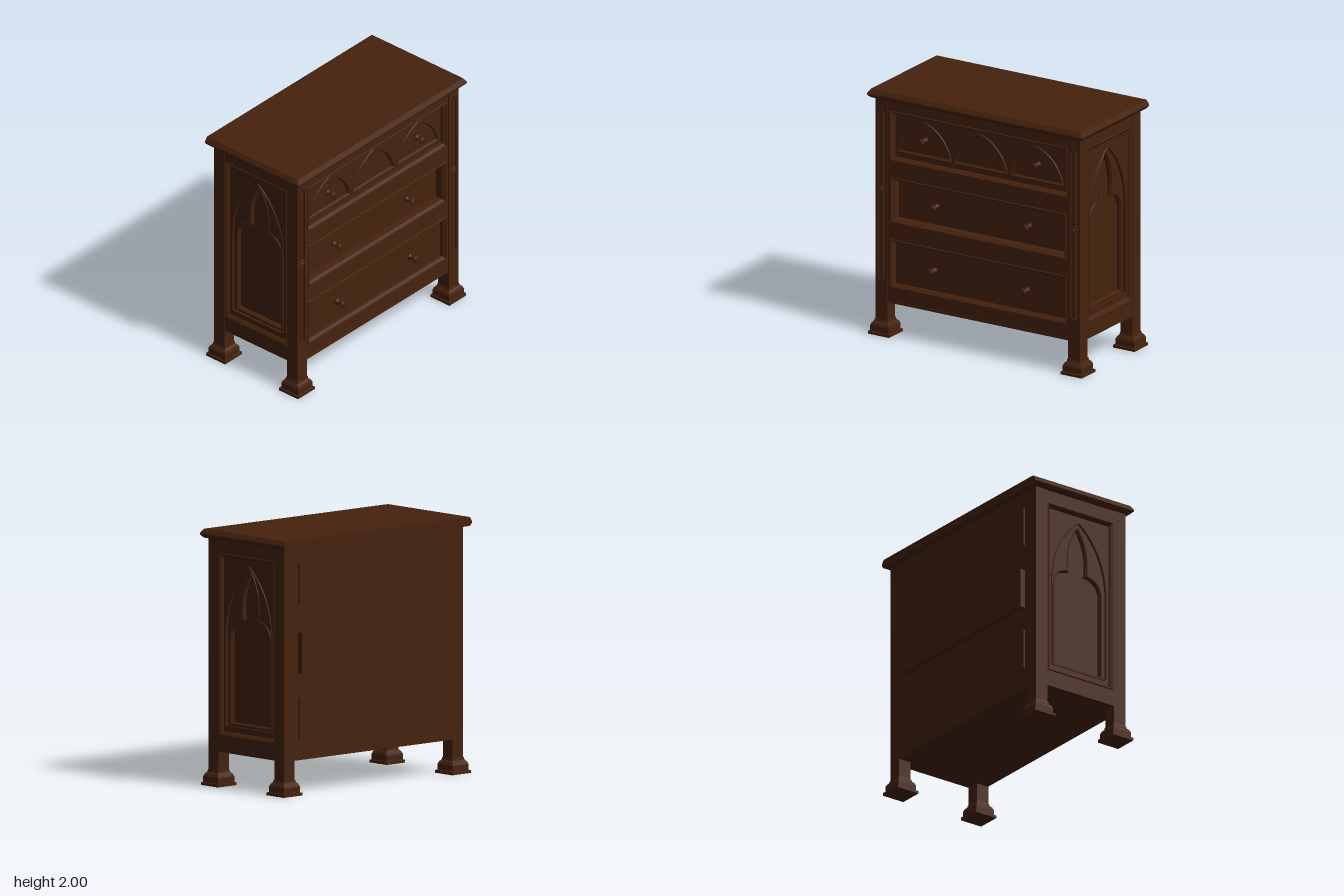
import * as THREE from 'three';

const wood = new THREE.MeshStandardMaterial({ color: 0x45220d, side: THREE.DoubleSide });
wood.name = 'dark wood';

function add(parent, name, geometry, x = 0, y = 0, z = 0) {
  const mesh = new THREE.Mesh(geometry, wood);
  mesh.name = name;
  mesh.position.set(x, y, z);
  parent.add(mesh);
  return mesh;
}

// Box given by its extents
function block(parent, name, x0, x1, y0, y1, z0, z1) {
  return add(parent, name, new THREE.BoxGeometry(x1 - x0, y1 - y0, z1 - z0),
    (x0 + x1) / 2, (y0 + y1) / 2, (z0 + z1) / 2);
}

// Flat-faced loft through rectangles [x0, x1, y0, y1, z]
function rectLoft(rings, capped) {
  const pos = [];
  const corners = ([x0, x1, y0, y1, z]) => [[x0, y0, z], [x1, y0, z], [x1, y1, z], [x0, y1, z]];
  const quad = (a, b, c, d) => pos.push(...a, ...b, ...c, ...a, ...c, ...d);
  const loops = rings.map(corners);
  for (let i = 0; i + 1 < loops.length; i++) {
    for (let k = 0; k < 4; k++) {
      const n = (k + 1) % 4;
      quad(loops[i][k], loops[i][n], loops[i + 1][n], loops[i + 1][k]);
    }
  }
  if (capped) {
    quad(...loops[0].slice().reverse());
    quad(...loops[loops.length - 1]);
  }
  const g = new THREE.BufferGeometry();
  g.setAttribute('position', new THREE.Float32BufferAttribute(pos, 3));
  g.computeVertexNormals();
  return g;
}

// Moulding rings: each step is [inset from the rectangle, z]
const frameRings = (x, y0, y1, steps) => steps.map(([i, z]) => [-x + i, x - i, y0 + i, y1 - i, z]);

function rect(x0, x1, y0, y1, Type = THREE.Shape) {
  return new Type([[x0, y0], [x1, y0], [x1, y1], [x0, y1]].map(p => new THREE.Vector2(...p)));
}

// Pierced board from z0 to z1
function plate(outline, holes, z0, z1, bevel = 0) {
  outline.holes.push(...holes);
  const g = new THREE.ExtrudeGeometry(outline, {
    depth: z1 - z0 - bevel, curveSegments: 14, bevelEnabled: bevel > 0,
    bevelThickness: bevel, bevelSize: bevel, bevelSegments: 1,
  });
  return g.translate(0, 0, z0);
}

// Raised rib along a closed outline
function rib(path, z, radius) {
  const pts = path.getPoints(14).map(p => new THREE.Vector3(p.x, p.y, z));
  const curve = new THREE.CurvePath();
  pts.forEach((p, i) => {
    const q = pts[(i + 1) % pts.length];
    if (p.distanceTo(q) > 1e-4) curve.add(new THREE.LineCurve3(p, q));
  });
  return new THREE.TubeGeometry(curve, 140, radius, 6, false);
}

function drawerArch(cx) {
  const p = new THREE.Path();
  p.moveTo(cx - 0.245, 1.505);
  p.quadraticCurveTo(cx - 0.19, 1.72, cx, 1.78);
  p.quadraticCurveTo(cx + 0.19, 1.72, cx + 0.245, 1.505);
  p.closePath();
  return p;
}

function lancet() {
  const p = new THREE.Path();
  p.moveTo(-0.262, 0.475);
  p.lineTo(0.262, 0.475);
  p.lineTo(0.262, 1.2);
  p.quadraticCurveTo(0.25, 1.55, 0, 1.745);
  p.quadraticCurveTo(-0.25, 1.55, -0.262, 1.2);
  p.closePath();
  return p;
}

function trefoil() {
  const p = new THREE.Path();
  p.moveTo(-0.23, 0.495);
  p.lineTo(0.23, 0.495);
  p.lineTo(0.23, 1.18);
  p.quadraticCurveTo(0.22, 1.31, 0.09, 1.325);
  p.quadraticCurveTo(0.12, 1.54, 0, 1.71);
  p.quadraticCurveTo(-0.12, 1.54, -0.09, 1.325);
  p.quadraticCurveTo(-0.22, 1.31, -0.23, 1.18);
  p.closePath();
  return p;
}

// Post slot with a small cusped head
function slot() {
  const p = new THREE.Path();
  p.moveTo(-0.032, 0.45);
  p.lineTo(0.032, 0.45);
  p.lineTo(0.032, 1.81);
  p.lineTo(0.018, 1.825);
  p.quadraticCurveTo(0.018, 1.85, 0, 1.865);
  p.quadraticCurveTo(-0.018, 1.85, -0.018, 1.825);
  p.lineTo(-0.032, 1.81);
  p.closePath();
  return p;
}

export function createModel() {
  const model = new THREE.Group();
  model.name = 'chestOfDrawers';

  // Carcass and moulded top
  block(model, 'carcass', -0.86, 0.86, 0.27, 1.93, -0.43, 0.335);
  const top = [[0.965, 0.455, 1.93], [0.98, 0.47, 1.945], [0.988, 0.478, 1.955], [0.988, 0.478, 1.965],
    [0.975, 0.465, 1.985], [0.965, 0.455, 2]];
  add(model, 'top', rectLoft(top.map(([x, f, h]) => [-x, x, -f, 0.48, h]), true)).rotation.x = -Math.PI / 2;

  // Legs, feet and carved front posts
  const foot = [[0.098, 0], [0.098, 0.022], [0.085, 0.025], [0.085, 0.07], [0.076, 0.09], [0.062, 0.105], [0.059, 0.122]];
  for (const sx of [-1, 1]) {
    for (const sz of [-1, 1]) {
      const leg = new THREE.Group();
      leg.name = (sz > 0 ? 'front' : 'back') + 'Leg';
      leg.position.set(sx * 0.885, 0, sz * 0.375);
      model.add(leg);
      block(leg, 'post', -0.055, 0.055, 0.11, 1.93, -0.055, sz > 0 ? 0.04 : 0.055);
      add(leg, 'foot', rectLoft(foot.map(([r, h]) => [-r, r, -r, r, h]), true)).rotation.x = -Math.PI / 2;
      if (sz < 0) continue;
      add(leg, 'postFace', plate(rect(-0.055, 0.055, 0.11, 1.93), [slot()], 0.039, 0.055));
      add(leg, 'colonnette', new THREE.CylinderGeometry(0.018, 0.018, 1.36, 12), 0, 1.14, 0.035);
      add(leg, 'rosetteCentre', new THREE.SphereGeometry(0.014, 10, 8), 0, 1.18, 0.052);
      for (let i = 0; i < 8; i++) {
        const a = i * Math.PI / 4;
        add(leg, 'rosettePetal', new THREE.SphereGeometry(0.012, 8, 6),
          0.024 * Math.cos(a), 1.18 + 0.024 * Math.sin(a), 0.05).scale.z = 0.6;
      }
    }
  }

  // Front frame with three openings: [half width, y0, y1]
  const openings = [[0.82, 1.43, 1.84], [0.808, 0.925, 1.297], [0.815, 0.395, 0.79]];
  add(model, 'frontFrame', plate(rect(-0.835, 0.835, 0.27, 1.93),
    openings.map(([x, a, b]) => rect(-x, x, a, b, THREE.Path)), 0.33, 0.42));
  block(model, 'bottomBead', -0.83, 0.83, 0.27, 0.288, 0.41, 0.426);
  for (const [x, a, b] of openings) {
    add(model, 'openingMoulding', rectLoft(frameRings(x, a, b,
      [[0, 0.418], [0.004, 0.427], [0.011, 0.427], [0.014, 0.418], [0.028, 0.4], [0.032, 0.336]])));
  }

  // Drawers, each running through to the back
  const knobProfile = [[0, 0], [0.024, 0], [0.027, 0.008], [0.022, 0.018], [0.012, 0.024], [0.011, 0.046],
    [0.027, 0.06], [0.03, 0.068], [0.024, 0.077], [0.012, 0.081], [0, 0.082]].map(p => new THREE.Vector2(...p));
  const drawers = [
    { y: 1.64, front: 0.364, back: -0.445, knobX: 0.52, knobY: 1.635 },
    { y: 1.11, front: 0.347, back: -0.475, knobX: 0.425, knobY: 1.108 },
    { y: 0.6, front: 0.378, back: -0.445, knobX: 0.425, knobY: 0.594 },
  ];
  for (const d of drawers) {
    block(model, 'drawer', -0.795, 0.795, d.y - 0.16, d.y + 0.16, d.back, 0.3);
    block(model, 'drawerFront', -0.795, 0.795, d.y - 0.185, d.y + 0.175, 0.3, d.front);
    for (const s of [-1, 1]) {
      add(model, 'knob', new THREE.LatheGeometry(knobProfile, 18), s * d.knobX, d.knobY, d.front).rotation.x = Math.PI / 2;
    }
  }

  // Arcade on the top drawer
  const centres = [-0.515, 0, 0.515];
  add(model, 'arcade', plate(rect(-0.785, 0.785, 1.465, 1.808), centres.map(drawerArch), 0.362, 0.384, 0.012));
  for (const c of centres) add(model, 'arcadeRib', rib(drawerArch(c), 0.384, 0.008));

  // Side panels with a lancet arch around a trefoil arch
  for (const s of [-1, 1]) {
    const side = new THREE.Group();
    side.name = s > 0 ? 'leftSide' : 'rightSide';
    side.rotation.y = s * Math.PI / 2;
    model.add(side);
    add(side, 'sideFrame', plate(rect(-0.325, 0.325, 0.27, 1.93), [rect(-0.318, 0.318, 0.4, 1.825, THREE.Path)], 0.85, 0.936));
    add(side, 'sideMoulding', rectLoft(frameRings(0.318, 0.4, 1.825,
      [[0, 0.935], [0.006, 0.941], [0.014, 0.935], [0.026, 0.925], [0.034, 0.91]])));
    add(side, 'lancetPanel', plate(rect(-0.318, 0.318, 0.4, 1.825), [lancet()], 0.88, 0.914));
    add(side, 'lancetRib', rib(lancet(), 0.913, 0.008));
    add(side, 'trefoilPanel', plate(rect(-0.3, 0.3, 0.42, 1.8), [trefoil()], 0.86, 0.893, 0.01));
    add(side, 'trefoilRib', rib(trefoil(), 0.893, 0.007));
  }
  return model;
}
